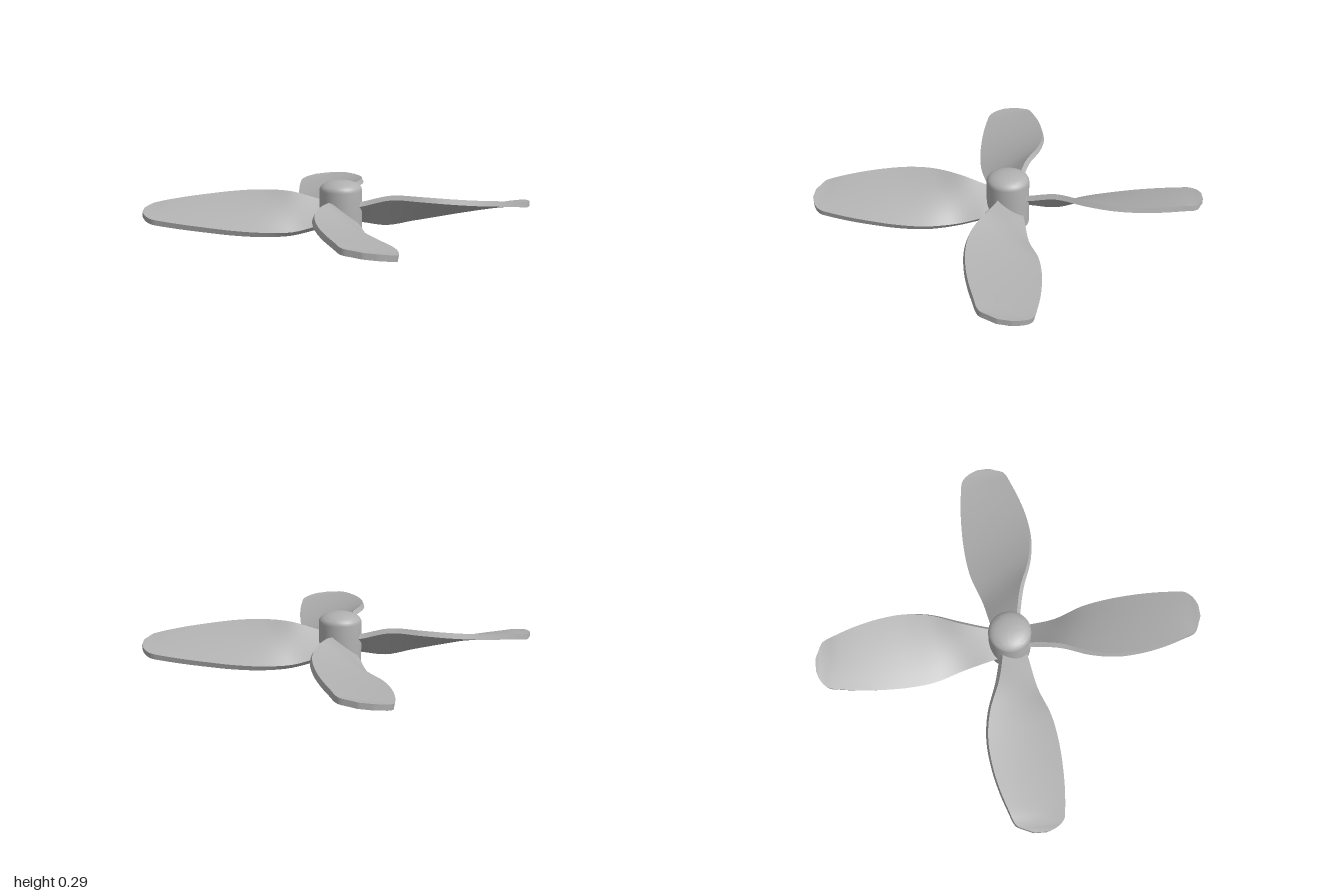
import * as THREE from 'three';
import { toCreasedNormals } from 'three/addons/utils/BufferGeometryUtils.js';

const THICKNESS = 0.028;

// Blade stations from root to tip: x, then y and z of the low edge, then y and z of the high edge
const STATIONS = [
  [0.06, 0.065, -0.075, 0.165, 0.05],
  [0.11, 0.06, -0.085, 0.172, 0.055],
  [0.25, 0.034, -0.115, 0.207, 0.085],
  [0.40, 0.044, -0.172, 0.207, 0.138],
  [0.54, 0.06, -0.196, 0.198, 0.157],
  [0.68, 0.08, -0.203, 0.186, 0.144],
  [0.80, 0.097, -0.2, 0.176, 0.115],
  [0.90, 0.112, -0.19, 0.166, 0.08],
  [0.94, 0.119, -0.183, 0.16, 0.065],
  [0.965, 0.125, -0.165, 0.157, 0.048],
  [0.985, 0.133, -0.135, 0.152, 0.005],
  [1.0, 0.14, -0.095, 0.148, -0.03],
];

// Twisted plate of even thickness, lofted between its two edge curves
function bladeGeometry() {
  const edge = (k) => new THREE.CatmullRomCurve3(
    STATIONS.map((s) => new THREE.Vector3(s[0], s[k], s[k + 1])), false, 'centripetal');
  const low = edge(1), high = edge(3);
  const rows = 55, cols = 6, ring = 2 * (cols + 1);
  const positions = [], index = [];
  const axis = new THREE.Vector3(1, 0, 0);

  for (let i = 0; i <= rows; i++) {
    const a = low.getPoint(i / rows), b = high.getPoint(i / rows);
    const normal = b.clone().sub(a).cross(axis).normalize();
    for (let j = 0; j < ring; j++) {
      const top = j <= cols;
      const t = (top ? j : ring - 1 - j) / cols;
      const p = a.clone().lerp(b, t).addScaledVector(normal, (top ? 0.5 : -0.5) * THICKNESS);
      positions.push(Math.min(p.x, 1), p.y, p.z);
    }
  }
  for (let i = 0; i < rows; i++) {
    for (let j = 0; j < ring; j++) {
      const a = i * ring + j, b = i * ring + (j + 1) % ring;
      index.push(a, b, b + ring, a, b + ring, a + ring);
    }
  }
  // Root and tip caps
  const end = rows * ring;
  for (let k = 0; k < cols; k++) {
    const m = ring - 1 - k;
    index.push(k, m, k + 1, k + 1, m, m - 1);
    index.push(end + k, end + k + 1, end + m, end + k + 1, end + m - 1, end + m);
  }
  const geometry = new THREE.BufferGeometry();
  geometry.setAttribute('position', new THREE.Float32BufferAttribute(positions, 3));
  geometry.setIndex(index);
  return toCreasedNormals(geometry, 0.6);
}

// Upright cylinder with a softly domed cap
function hubGeometry() {
  const profile = [[0, 0], [0.11, 0], [0.11, 0.235]].map(([r, y]) => new THREE.Vector2(r, y));
  for (let i = 1; i <= 10; i++) {
    const a = (i / 10) * Math.PI / 2;
    profile.push(new THREE.Vector2(i === 10 ? 0 : 0.11 * Math.cos(a), 0.235 + 0.052 * Math.sin(a) ** 0.9));
  }
  return toCreasedNormals(new THREE.LatheGeometry(profile, 48), 0.7);
}

export function createModel() {
  const grey = new THREE.MeshStandardMaterial({ color: 0xb0b0b0 });
  grey.name = 'grey metal';

  const model = new THREE.Group();
  model.name = 'propeller';

  const hub = new THREE.Mesh(hubGeometry(), grey);
  hub.name = 'hub';
  model.add(hub);

  // Four equal blades around the hub
  const geometry = bladeGeometry();
  for (let i = 0; i < 4; i++) {
    const blade = new THREE.Mesh(geometry, grey);
    blade.name = `blade${i + 1}`;
    blade.rotation.y = i * Math.PI / 2;
    model.add(blade);
  }
  return model;
}
